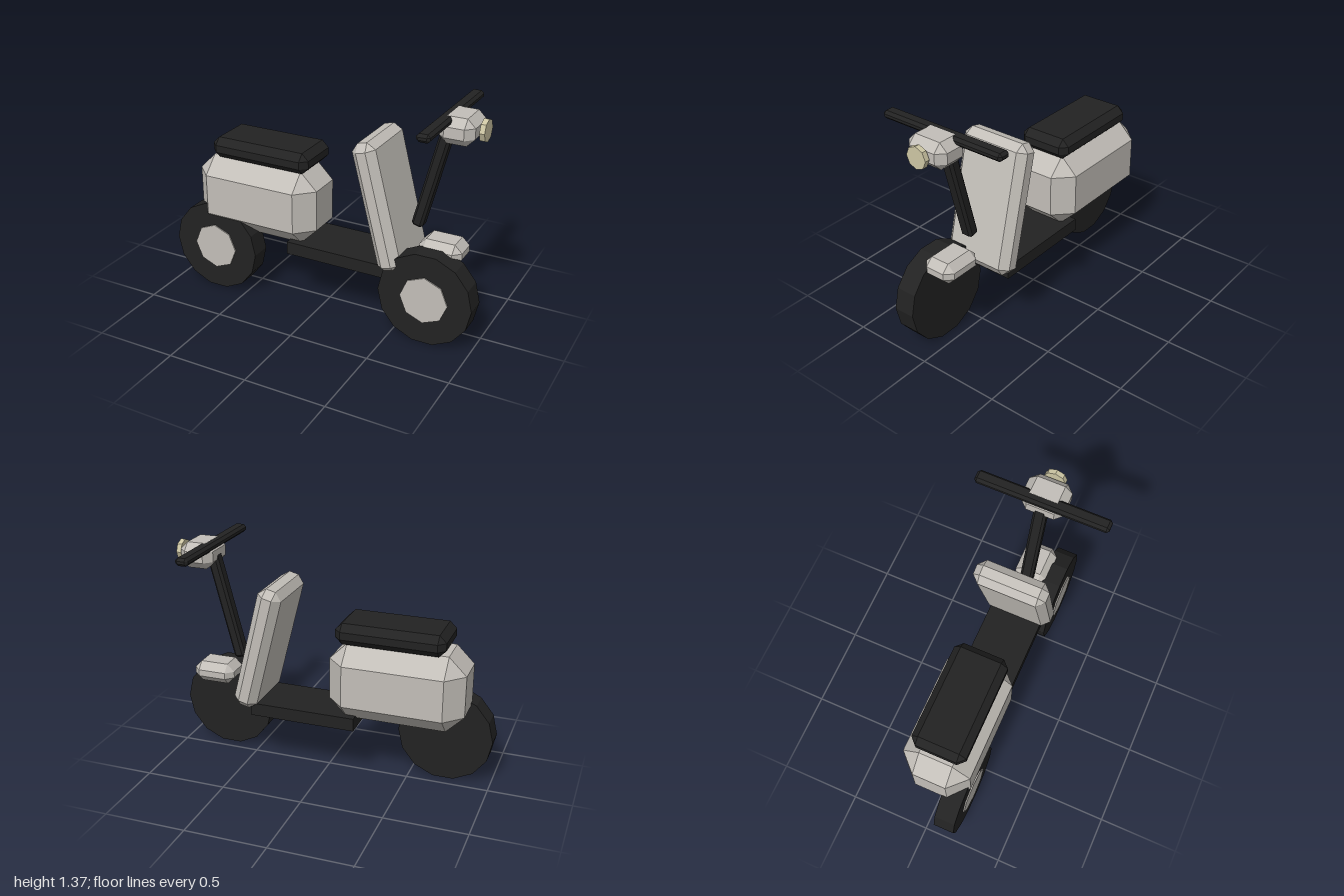
import * as THREE from 'three';
import { ConvexGeometry } from 'three/addons/geometries/ConvexGeometry.js';

function material(name, color) {
  const m = new THREE.MeshStandardMaterial({ color, flatShading: true });
  m.name = name;
  return m;
}

// Box with every edge cut at 45 degrees and triangular corners
function chamferBox(w, h, d, c) {
  const points = [];
  for (const sx of [-1, 1]) for (const sy of [-1, 1]) for (const sz of [-1, 1]) {
    for (let full = 0; full < 3; full++) {
      const cut = [c, c, c];
      cut[full] = 0;
      points.push(new THREE.Vector3(
        sx * (w / 2 - cut[0]), sy * (h / 2 - cut[1]), sz * (d / 2 - cut[2])));
    }
  }
  return new ConvexGeometry(points);
}

// Low-poly disc facing along z
function disc(radius, depth, sides) {
  return new THREE.CylinderGeometry(radius, radius, depth, sides)
    .rotateX(Math.PI / 2)
    .rotateZ(sides % 4 ? Math.PI / 2 : 0);
}

export function createModel() {
  const model = new THREE.Group();
  model.name = 'scooter';
  const paint = material('grey paint', 0xc2beb8);
  const black = material('black rubber', 0x222222);
  const glass = material('cream lamp', 0xcdc6a4);

  const add = (name, geometry, mat, x, y, z = 0, tilt = 0, parent = model) => {
    const mesh = new THREE.Mesh(geometry, mat);
    mesh.name = name;
    mesh.position.set(x, y, z);
    mesh.rotation.z = tilt;
    parent.add(mesh);
    return mesh;
  };

  // Rear body, seat and floor
  add('rearBody', chamferBox(0.82, 0.47, 0.42, 0.107), paint, -0.447, 0.635);
  add('seat', chamferBox(0.66, 0.13, 0.335, 0.042), black, -0.408, 0.935);
  add('footboard', new THREE.BoxGeometry(0.66, 0.08, 0.34), black, 0.122, 0.38);

  // Leaning leg shield and front fender
  add('legShield', chamferBox(0.15, 0.79, 0.45, 0.045), paint, 0.393, 0.782, 0, 0.25);
  add('frontFender', chamferBox(0.265, 0.13, 0.21, 0.045), paint, 0.742, 0.538);

  // Steering column, handlebar and headlight
  add('steeringColumn', chamferBox(0.07, 0.7, 0.08, 0.015), black, 0.663, 0.99, 0, -0.25);
  add('handlebar', chamferBox(0.08, 0.048, 0.82, 0.016), black, 0.745, 1.35);
  add('headlightHousing', chamferBox(0.21, 0.157, 0.265, 0.047), paint, 0.809, 1.296);
  add('headlight', disc(0.066, 0.03, 8).rotateY(Math.PI / 2), glass, 0.942, 1.296);

  // Wheels, both offset to the +z side
  for (const [name, x] of [['rearWheel', -0.71], ['frontWheel', 0.71]]) {
    const wheel = new THREE.Group();
    wheel.name = name;
    wheel.position.set(x, 0.283, 0.135);
    add('tire', disc(0.29, 0.13, 14), black, 0, 0, 0, 0, wheel);
    add('hub', disc(0.147, 0.009, 8), paint, 0, 0, 0.068, 0, wheel);
    model.add(wheel);
  }
  return model;
}
